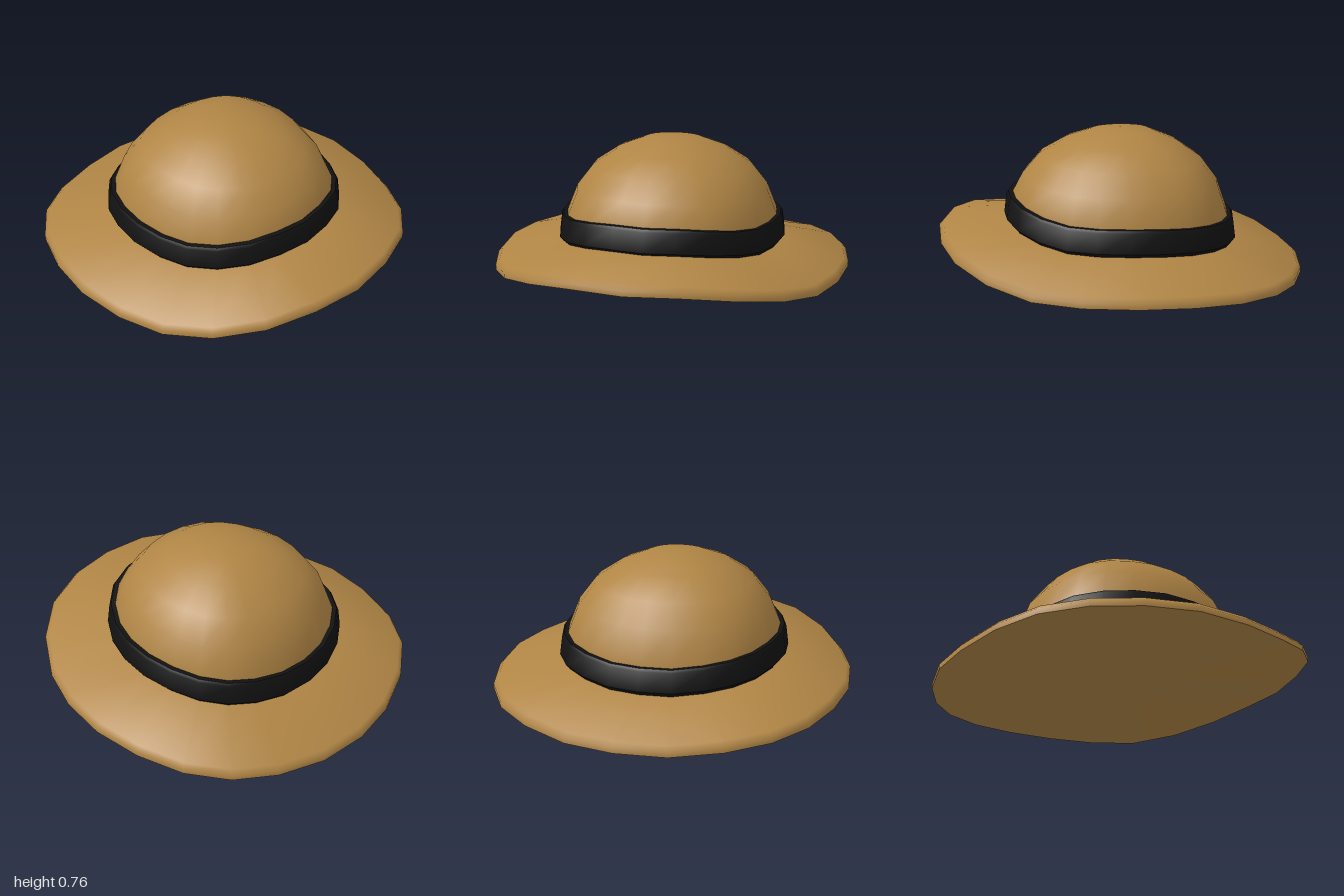
import * as THREE from 'three';
import { toCreasedNormals } from 'three/addons/utils/BufferGeometryUtils.js';

// Half outline of the hat, back to front: unit x, unit z, lift of the rim
const HALF = [
  [0, -1, -0.08], [0.272, -0.966, -0.08], [0.53, -0.876, -0.06], [0.735, -0.742, -0.04],
  [0.88, -0.547, -0.025], [0.966, -0.304, -0.01], [1, -0.037, 0], [0.966, 0.234, 0],
  [0.88, 0.477, 0.005], [0.735, 0.698, 0.045], [0.53, 0.868, 0.092], [0.272, 0.964, 0.12],
  [0, 1, 0.12],
];
const OUTLINE = [...HALF, ...HALF.slice(1, -1).reverse().map(([x, z, l]) => [-x, z, l])];

// Lofts rings [radius, y, share of lift] from the bottom up
function loft(rings, creaseAngle) {
  const n = OUTLINE.length;
  const pos = [], index = [];
  rings.forEach(([r, y, share]) => {
    for (const [x, z, lift] of OUTLINE) {
      const s = lift < 0 ? Math.min(1, share * 1.5) : share;
      pos.push(x * r, y + lift * s, z * r * 1.025 - 0.008);
    }
  });
  for (let j = 0; j < rings.length - 1; j++) {
    for (let i = 0; i < n; i++) {
      const a = j * n + i, b = j * n + ((i + 1) % n), c = b + n, d = a + n;
      if (rings[j][0] > 0) index.push(b, a, d);
      if (rings[j + 1][0] > 0) index.push(b, d, c);
    }
  }
  const g = new THREE.BufferGeometry();
  g.setAttribute('position', new THREE.Float32BufferAttribute(pos, 3));
  g.setIndex(index);
  return toCreasedNormals(g, creaseAngle);
}

export function createModel() {
  const hat = new THREE.Group();
  hat.name = 'hat';
  const felt = new THREE.MeshStandardMaterial({ color: 0xb08545 });
  const ribbon = new THREE.MeshStandardMaterial({ color: 0x111111 });
  const add = (name, material, rings, crease = 1) => {
    const mesh = new THREE.Mesh(loft(rings, crease), material);
    mesh.name = name;
    hat.add(mesh);
  };

  // Closed underside, thin bevelled rim and slope up to the crown
  add('brim', felt, [
    [0, 0.08, 0], [0.97, 0.08, 1], [0.97, 0.108, 1], [0.948, 0.132, 1],
    [0.58, 0.222, 0.52],
  ]);

  // Rounded dome whose tilt fades out towards the top
  add('crown', felt, [
    [0.59, 0.2, 0.5], [0.575, 0.355, 0.45], [0.52, 0.49, 0.2], [0.43, 0.605, 0.12],
    [0.3, 0.69, 0.05], [0.16, 0.745, 0], [0, 0.76, 0],
  ]);

  // Bevelled ribbon around the base of the crown
  add('band', ribbon, [
    [0.57, 0.205, 0.5], [0.6, 0.208, 0.5], [0.622, 0.235, 0.5],
    [0.608, 0.338, 0.5], [0.598, 0.352, 0.5], [0.565, 0.352, 0.5],
  ], 0.7);

  return hat;
}
